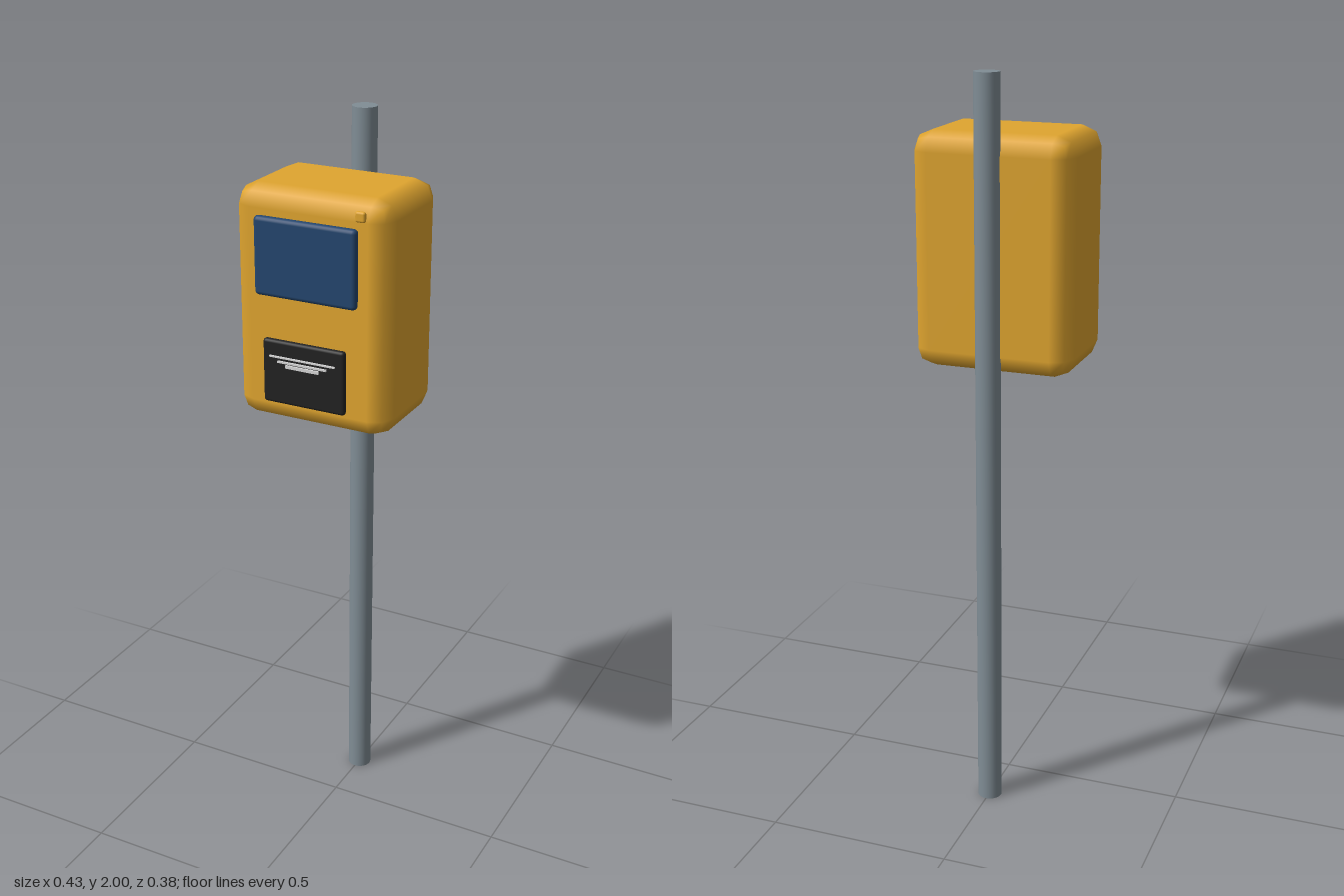
import * as THREE from 'three';
import { RoundedBoxGeometry } from 'three/addons/geometries/RoundedBoxGeometry.js';

export function createModel() {
  const model = new THREE.Group();
  model.name = 'polePaymentBox';

  const material = (name, color) => {
    const m = new THREE.MeshStandardMaterial({ color });
    m.name = name;
    return m;
  };
  const yellow = material('yellow casing', 0xe0a52f);
  const blue = material('blue screen', 0x24466e);
  const black = material('black panel', 0x222222);
  const grey = material('grey pole', 0x808d95);
  const white = material('pale print', 0xd8d8d8);

  const add = (name, geometry, mat, x, y, z) => {
    const mesh = new THREE.Mesh(geometry, mat);
    mesh.name = name;
    mesh.position.set(x, y, z);
    model.add(mesh);
    return mesh;
  };

  // Upright pole, half sunk into the back of the casing
  add('pole', new THREE.CylinderGeometry(0.033, 0.033, 2, 32), grey, 0, 1, -0.157);

  // Casing with coarse rounded edges
  add('casing', new RoundedBoxGeometry(0.43, 0.614, 0.307, 1, 0.052), yellow, 0, 1.541, -0.0035);

  // Front fittings
  add('screen', new RoundedBoxGeometry(0.282, 0.202, 0.024, 2, 0.011), blue, 0, 1.681, 0.161);
  add('slotPanel', new RoundedBoxGeometry(0.23, 0.17, 0.018, 2, 0.008), black, 0, 1.387, 0.171);
  add('button', new RoundedBoxGeometry(0.027, 0.027, 0.013, 2, 0.006), yellow, 0.154, 1.817, 0.1705);

  // Three bars of decreasing width above the panel
  [[0.185, 1.431, 0.004], [0.138, 1.419, 0.005], [0.094, 1.409, 0.008]].forEach(([w, y, h], i) =>
    add(`panelBar${i + 1}`, new THREE.BoxGeometry(w, h, 0.005), white, 0, y, 0.1855));

  return model;
}
